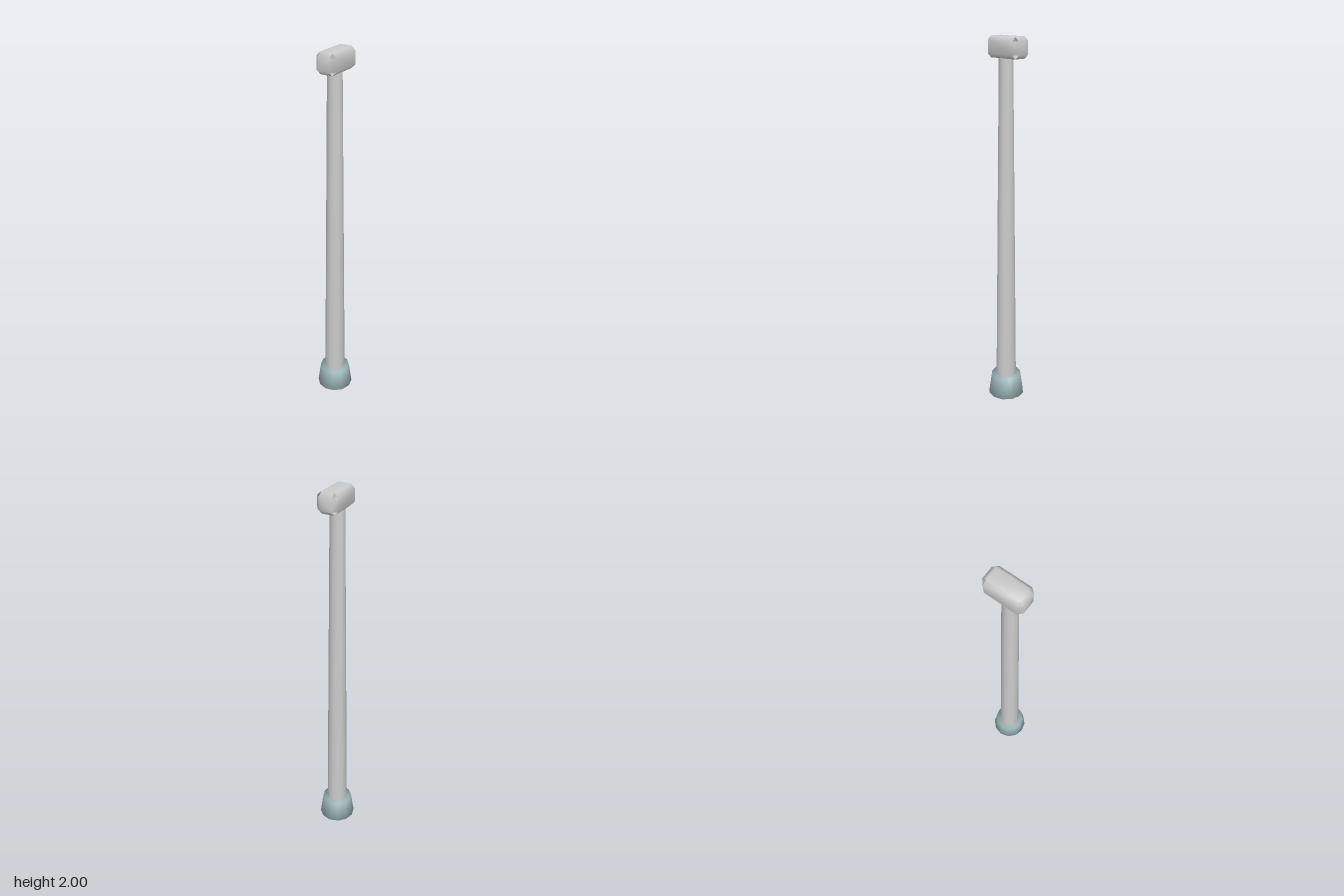
import * as THREE from 'three';
import { mergeVertices } from 'three/addons/utils/BufferGeometryUtils.js';

// Bevelled box with its tiny corner triangles left open, softly shaded
function bevelledBox(outer, inner) {
  const positions = [], index = [], ids = new Map();
  const signs = [-1, 1];

  // Corner point lying on the face across the given axis
  const corner = (axis, s) => {
    const key = axis + ':' + s.join();
    if (!ids.has(key)) {
      ids.set(key, positions.length / 3);
      positions.push(...s.map((v, i) => v * (i === axis ? outer[i] : inner[i])));
    }
    return ids.get(key);
  };
  const point = (i) => new THREE.Vector3().fromArray(positions, i * 3);

  // Four-sided face, turned so that it looks outwards
  const quad = (a, b, c, d) => {
    const [A, B, C, D] = [a, b, c, d].map(point);
    const normal = B.clone().sub(A).cross(C.clone().sub(A));
    const middle = A.clone().add(B).add(C).add(D);
    if (normal.dot(middle) > 0) index.push(a, b, c, a, c, d);
    else index.push(a, c, b, a, d, c);
  };
  const signed = (a, sa, b, sb, c, sc) => {
    const s = [0, 0, 0];
    s[a] = sa; s[b] = sb; s[c] = sc;
    return s;
  };

  for (let a = 0; a < 3; a++) {
    const b = (a + 1) % 3, c = (a + 2) % 3;
    for (const sa of signs) {
      // Flat face
      quad(...[[-1, -1], [1, -1], [1, 1], [-1, 1]].map(([sb, sc]) => corner(a, signed(a, sa, b, sb, c, sc))));
      // Bevels along the third axis
      for (const sb of signs) {
        const lo = signed(a, sa, b, sb, c, -1), hi = signed(a, sa, b, sb, c, 1);
        quad(corner(a, lo), corner(a, hi), corner(b, hi), corner(b, lo));
      }
    }
  }
  const geometry = new THREE.BufferGeometry();
  geometry.setAttribute('position', new THREE.Float32BufferAttribute(positions, 3));
  geometry.setIndex(index);
  geometry.computeVertexNormals();
  return geometry;
}

// Tapered column with vertices on the x and z axes, shading blended over the rims
function taperedColumn(topRadius, bottomRadius, y0, y1) {
  const geometry = new THREE.CylinderGeometry(topRadius, bottomRadius, y1 - y0, 12);
  geometry.deleteAttribute('uv');
  geometry.deleteAttribute('normal');
  const merged = mergeVertices(geometry);
  merged.computeVertexNormals();
  return merged.translate(0, (y0 + y1) / 2, 0);
}

export function createModel() {
  const group = new THREE.Group();
  group.name = 'post';

  const paleGrey = new THREE.MeshStandardMaterial({ color: 0xcccccc });
  paleGrey.name = 'paleGrey';
  paleGrey.side = THREE.DoubleSide;
  const blueGrey = new THREE.MeshStandardMaterial({ color: 0x9bb4b8 });
  blueGrey.name = 'blueGrey';

  const add = (name, geometry, material, y, z) => {
    const mesh = new THREE.Mesh(geometry, material);
    mesh.name = name;
    mesh.position.set(0, y, z);
    group.add(mesh);
  };

  // Flared foot, tall tapering pole and bevelled head
  add('base', taperedColumn(0.083, 0.1, 0, 0.12), blueGrey, 0, 0.008);
  add('pole', taperedColumn(0.037, 0.058, 0.08, 1.915), paleGrey, 0, 0.008);
  add('head', bevelledBox([0.055, 0.0525, 0.105], [0.033, 0.0325, 0.083]), paleGrey, 1.9475, -0.004);

  return group;
}
